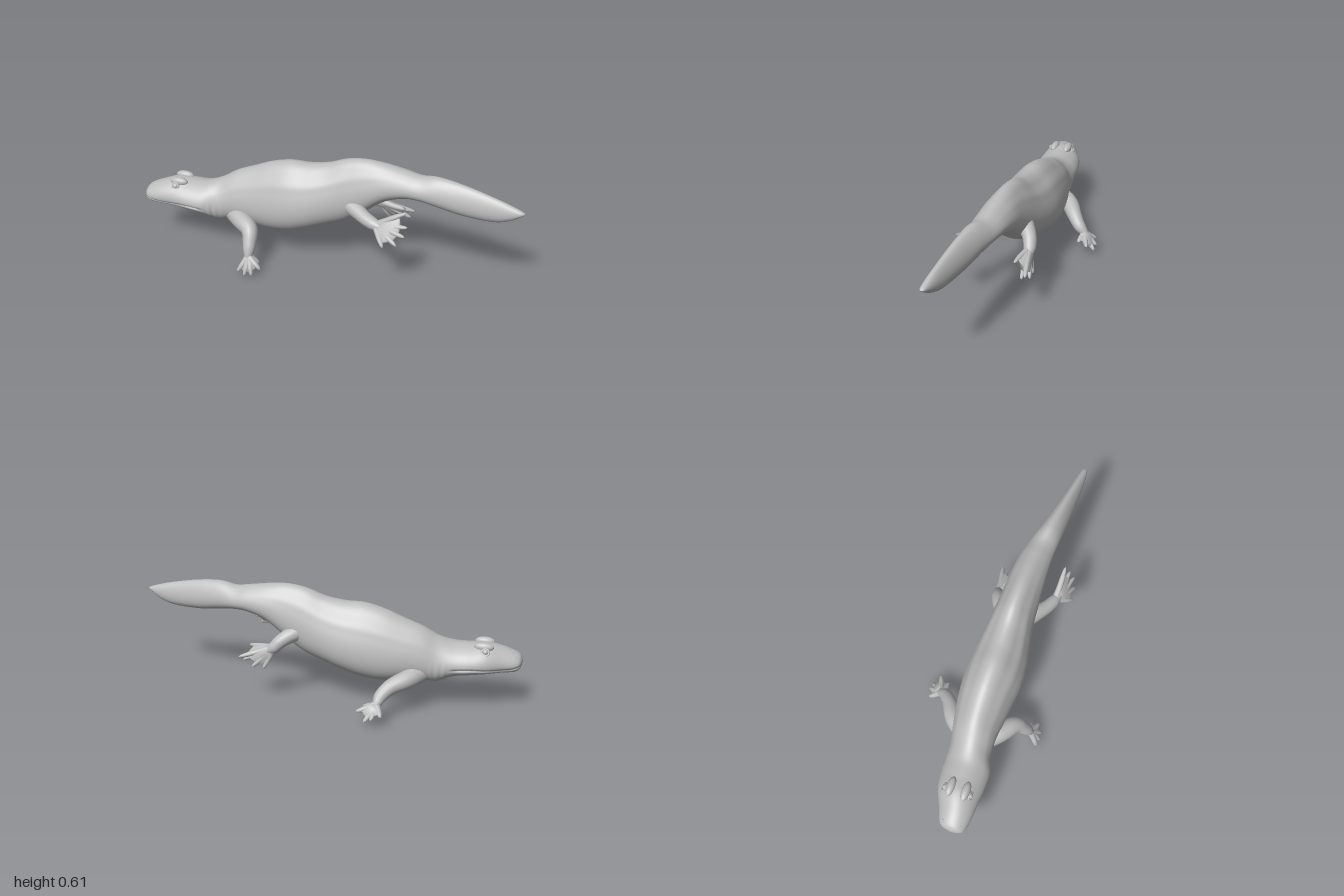
import * as THREE from 'three';
import { mergeVertices } from 'three/addons/utils/BufferGeometryUtils.js';
import { ConvexGeometry } from 'three/addons/geometries/ConvexGeometry.js';

const skin = new THREE.MeshStandardMaterial({ color: 0xbcbcbc });
skin.name = 'skin';
const V = (p) => new THREE.Vector3(...p);

// Skin a list of closed rings (arrays of Vector3) with shared, smooth vertices
function skinRings(rings) {
  const n = rings[0].length, pos = [], idx = [];
  rings.forEach((r) => r.forEach((p) => pos.push(p.x, p.y, p.z)));
  for (let i = 0; i < rings.length - 1; i++) {
    for (let j = 0; j < n; j++) {
      const a = i * n + j, b = i * n + (j + 1) % n;
      idx.push(a, a + n, b, b, a + n, b + n);
    }
  }
  const g = new THREE.BufferGeometry();
  g.setAttribute('position', new THREE.Float32BufferAttribute(pos, 3));
  g.setIndex(idx);
  g.computeVertexNormals();
  return g;
}

function addMesh(parent, name, geometry) {
  const m = new THREE.Mesh(geometry, skin);
  m.name = name;
  parent.add(m);
  return m;
}

// Body stations along x: [x, top, bottom, zMin, zMax, taper towards the back ridge]
const stations = [
  [-1.0, 0.273, 0.273, 0.078, 0.078, 0], [-0.99, 0.302, 0.24, 0.03, 0.122, 0.05],
  [-0.965, 0.322, 0.222, 0.004, 0.14, 0.1], [-0.9, 0.348, 0.216, -0.022, 0.15, 0.15],
  [-0.82, 0.368, 0.21, -0.058, 0.153, 0.2], [-0.74, 0.364, 0.2, -0.073, 0.158, 0.2],
  [-0.66, 0.366, 0.187, -0.078, 0.155, 0.2], [-0.58, 0.393, 0.155, -0.085, 0.13, 0.2],
  [-0.5, 0.44, 0.163, -0.1, 0.122, 0.22], [-0.4, 0.48, 0.152, -0.12, 0.13, 0.25],
  [-0.3, 0.52, 0.142, -0.133, 0.14, 0.27], [-0.2, 0.543, 0.152, -0.138, 0.15, 0.28],
  [-0.1, 0.545, 0.181, -0.133, 0.145, 0.28], [0, 0.562, 0.218, -0.12, 0.126, 0.28],
  [0.1, 0.598, 0.256, -0.105, 0.108, 0.28], [0.2, 0.612, 0.325, -0.092, 0.1, 0.28],
  [0.3, 0.604, 0.405, -0.083, 0.095, 0.25], [0.4, 0.588, 0.445, -0.07, 0.09, 0.25],
  [0.48, 0.576, 0.45, -0.053, 0.09, 0.25], [0.57, 0.588, 0.436, -0.03, 0.095, 0.25],
  [0.7, 0.575, 0.417, 0, 0.1, 0.25], [0.85, 0.543, 0.418, 0.033, 0.105, 0.2],
  [0.93, 0.521, 0.442, 0.052, 0.105, 0.1], [0.985, 0.502, 0.478, 0.07, 0.099, 0],
  [1.0, 0.493, 0.493, 0.084, 0.084, 0],
];

// Catmull-Rom blend of all station columns
function station(t) {
  const last = stations.length - 1, i = Math.min(Math.floor(t), last - 1), f = t - i;
  const [a, b, c, d] = [-1, 0, 1, 2].map((k) => stations[Math.max(0, Math.min(last, i + k))]);
  return b.map((q, k) => q + 0.5 * f * (c[k] - a[k]
    + f * (2 * a[k] - 5 * q + 4 * c[k] - d[k] + f * (3 * (q - c[k]) + d[k] - a[k]))));
}

const bump = (v, centre, width) => Math.exp(-(((v - centre) / width) ** 2));

function bodyGeometry() {
  const rings = [], along = 264, around = 112;
  for (let i = 0; i <= along; i++) {
    const [x, top, bottom, z0, z1, taper] = station(i / along * (stations.length - 1));
    const cy = (top + bottom) / 2, h = (top - bottom) / 2;
    const cz = (z0 + z1) / 2, w = (z1 - z0) / 2;
    const ring = [];
    for (let j = 0; j < around; j++) {
      const a = j / around * Math.PI * 2, s = Math.sin(a), c = Math.cos(a);
      const y = cy + h * s;
      let k = 1;
      // mouth slit and slightly recessed lower jaw
      if (x < -0.64) {
        const fade = Math.min(1, (-0.64 - x) / 0.05);
        const mouth = 0.25 + 0.015 * bump(x, -1, 0.04) + 0.006 * bump(x, -0.76, 0.06);
        k -= fade * (0.08 * bump(y, mouth, 0.006) + (y < mouth ? 0.03 : 0));
      }
      // gill folds on the throat
      if (s < 0.1) k += 0.03 * Math.sin(x * 190) * bump(x, -0.6, 0.045) * bump(s, -0.45, 0.4);
      // soft ridges along the flanks
      k += 0.03 * bump(x, -0.12, 0.42) * (bump(s, 0.5, 0.13) - bump(s, 0.75, 0.12));
      ring.push(new THREE.Vector3(x, cy + h * s * (1 + (k - 1) * 0.3),
        cz + w * c * (1 - taper * s) * k));
    }
    rings.push(ring);
  }
  return skinRings(rings);
}

// Round limb through points, its radius running through the given list
function limbGeometry(points, radii, steps = 24, sides = 16) {
  const curve = new THREE.CatmullRomCurve3(points.map(V));
  const { normals, binormals } = curve.computeFrenetFrames(steps);
  const rings = [];
  for (let i = 0; i <= steps; i++) {
    const u = i / steps, f = u * (radii.length - 1), k = Math.min(Math.floor(f), radii.length - 2);
    const cap = Math.sqrt(1 - Math.max(0, (u - 0.9) / 0.1) ** 2);
    const r = cap * THREE.MathUtils.lerp(radii[k], radii[k + 1], f - k);
    const p = curve.getPointAt(u), ring = [];
    for (let j = 0; j < sides; j++) {
      const a = j / sides * Math.PI * 2;
      ring.push(p.clone().addScaledVector(normals[i], r * Math.cos(a))
        .addScaledVector(binormals[i], -r * Math.sin(a)));
    }
    rings.push(ring);
  }
  return skinRings(rings);
}

// Leg with a broad webbed palm and tapering toes; the limb runs on into the palm
function addLeg(parent, name, { path, radii, toes, web }) {
  const leg = new THREE.Group();
  leg.name = name;
  parent.add(leg);
  const ankle = V(path[path.length - 1]), tips = toes.map(V);
  const middle = tips.reduce((sum, t) => sum.addScaledVector(t, 1 / tips.length), new THREE.Vector3());
  const palmEnd = ankle.clone().lerp(middle, 0.4).toArray();
  addMesh(leg, 'limb', limbGeometry([...path, palmEnd], [...radii, 0.014]));

  const first = tips[0], last = tips[tips.length - 1];
  const normal = first.clone().sub(ankle).cross(last.clone().sub(ankle)).normalize();
  const across = last.clone().sub(first).normalize();
  const hull = [];
  for (const side of [-1, 1]) {
    hull.push(ankle.clone().addScaledVector(normal, side * 0.02));
    hull.push(ankle.clone().addScaledVector(across, side * 0.026));
    tips.forEach((t) => {
      hull.push(ankle.clone().lerp(t, 0.35).addScaledVector(normal, side * 0.016));
      hull.push(ankle.clone().lerp(t, web).addScaledVector(normal, side * 0.005));
    });
  }
  let palm = new ConvexGeometry(hull);
  palm.deleteAttribute('normal');
  palm.deleteAttribute('uv');
  palm = mergeVertices(palm, 1e-5);
  palm.computeVertexNormals();
  addMesh(leg, 'palm', palm);

  tips.forEach((t) => {
    const mid = ankle.clone().lerp(t, 0.55).addScaledVector(normal, 0.003);
    addMesh(leg, 'toe', limbGeometry([ankle.toArray(), mid.toArray(), t.toArray()],
      [0.02, 0.016, 0.014, 0.007], 16, 10));
  });
}

const legs = {
  frontLeftLeg: {
    path: [[-0.5, 0.215, 0.07], [-0.43, 0.215, 0.135], [-0.37, 0.198, 0.185], [-0.355, 0.14, 0.23], [-0.35, 0.09, 0.26]],
    radii: [0.05, 0.052, 0.048, 0.04, 0.032],
    toes: [[-0.395, 0.017, 0.312], [-0.355, 0.003, 0.32], [-0.315, 0.01, 0.318], [-0.275, 0.04, 0.292], [-0.295, 0.052, 0.25]], web: 0.76,
  },
  frontRightLeg: {
    path: [[-0.5, 0.215, -0.05], [-0.44, 0.2, -0.125], [-0.37, 0.175, -0.175], [-0.33, 0.14, -0.215], [-0.315, 0.11, -0.25]],
    radii: [0.05, 0.05, 0.045, 0.038, 0.032],
    toes: [[-0.348, 0.07, -0.31], [-0.3, 0.055, -0.325], [-0.265, 0.04, -0.322], [-0.22, 0.08, -0.29], [-0.245, 0.085, -0.235]], web: 0.74,
  },
  hindLeftLeg: {
    path: [[0.11, 0.385, 0.05], [0.18, 0.37, 0.1], [0.24, 0.355, 0.14], [0.295, 0.345, 0.165]],
    radii: [0.045, 0.042, 0.036, 0.032],
    toes: [[0.355, 0.275, 0.25], [0.42, 0.29, 0.238], [0.455, 0.335, 0.218], [0.462, 0.375, 0.19], [0.447, 0.44, 0.165]], web: 0.78,
  },
  hindRightLeg: {
    path: [[0.11, 0.385, -0.05], [0.17, 0.365, -0.095], [0.21, 0.34, -0.12], [0.24, 0.31, -0.13]],
    radii: [0.045, 0.041, 0.036, 0.032],
    toes: [[0.29, 0.2, -0.165], [0.35, 0.205, -0.17], [0.405, 0.23, -0.145], [0.42, 0.255, -0.17], [0.38, 0.3, -0.1]], web: 0.78,
  },
};

export function createModel() {
  const model = new THREE.Group();
  model.name = 'amphibian';
  addMesh(model, 'body', bodyGeometry());
  for (const [name, spec] of Object.entries(legs)) addLeg(model, name, spec);

  // Eyes: low brow, ball and lid ring on each side of the head
  [['leftEye', [-0.815, 0.343, 0.11], 1], ['rightEye', [-0.815, 0.343, -0.016], -1]].forEach(([name, p, side]) => {
    const eye = new THREE.Group();
    eye.name = name;
    eye.position.set(...p);
    const brow = addMesh(eye, 'brow', new THREE.SphereGeometry(1, 24, 16));
    brow.scale.set(0.05, 0.024, 0.022);
    brow.position.set(0.01, 0.016, -0.025 * side);
    const ball = addMesh(eye, 'eyeball', new THREE.SphereGeometry(0.016, 20, 14));
    const lid = addMesh(eye, 'eyelid', new THREE.TorusGeometry(0.018, 0.005, 8, 24));
    lid.position.z = 0.005 * side;
    lid.rotation.x = -0.5 * side;
    model.add(eye);
  });

  // Nostril rims
  [0.116, 0.026].forEach((z) => {
    const rim = addMesh(model, 'nostril', new THREE.TorusGeometry(0.007, 0.003, 8, 16));
    rim.position.set(-0.965, 0.303, z);
    rim.rotation.set(-0.5 * Math.sign(z - 0.07), -0.6 * Math.sign(z - 0.07), 0);
  });
  return model;
}
